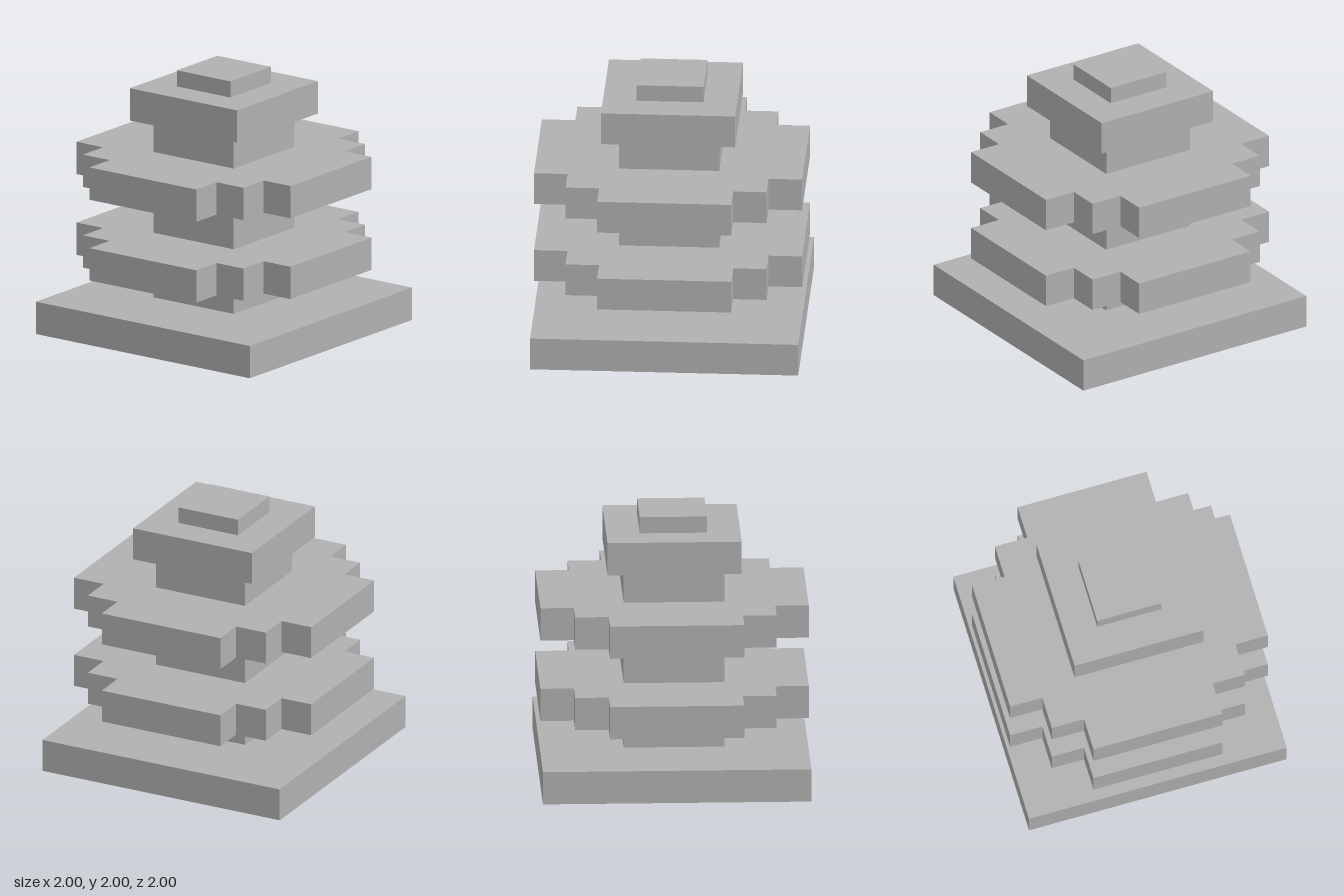
import * as THREE from 'three';

export function createModel() {
  const model = new THREE.Group();
  const grey = new THREE.MeshStandardMaterial({ color: 0xb0b0b0 });
  grey.name = 'plain grey';

  function add(name, geometry, y) {
    const mesh = new THREE.Mesh(geometry, grey);
    mesh.name = name;
    mesh.position.y = y;
    model.add(mesh);
  }

  // Square block from its half width, bottom and top
  function block(name, half, bottom, top) {
    add(name, new THREE.BoxGeometry(half * 2, top - bottom, half * 2), (bottom + top) / 2);
  }

  // Square slab with two steps cut out of each corner
  const corner = [[1, -0.5], [1, 0.5], [0.75, 0.5], [0.75, 0.75], [0.5, 0.75]];
  const outline = [];
  for (let i = 0; i < 4; i++) {
    for (const [x, y] of corner) {
      outline.push([new THREE.Vector2(x, y), new THREE.Vector2(-y, x),
        new THREE.Vector2(-x, -y), new THREE.Vector2(y, -x)][i]);
    }
  }
  function steppedSlab(name, bottom, top) {
    const geometry = new THREE.ExtrudeGeometry(new THREE.Shape(outline), {
      depth: top - bottom, bevelEnabled: false,
    });
    geometry.rotateX(-Math.PI / 2);
    add(name, geometry, bottom);
  }

  block('base', 1, 0, 0.25);
  block('lowerColumn', 0.375, 0.25, 0.5);
  steppedSlab('lowerSlab', 0.5, 0.75);
  block('middleColumn', 0.375, 0.75, 1.125);
  steppedSlab('upperSlab', 1.125, 1.375);
  block('upperColumn', 0.375, 1.375, 1.625);
  block('cap', 0.5, 1.625, 1.875);
  block('knob', 0.25, 1.875, 2);

  return model;
}
